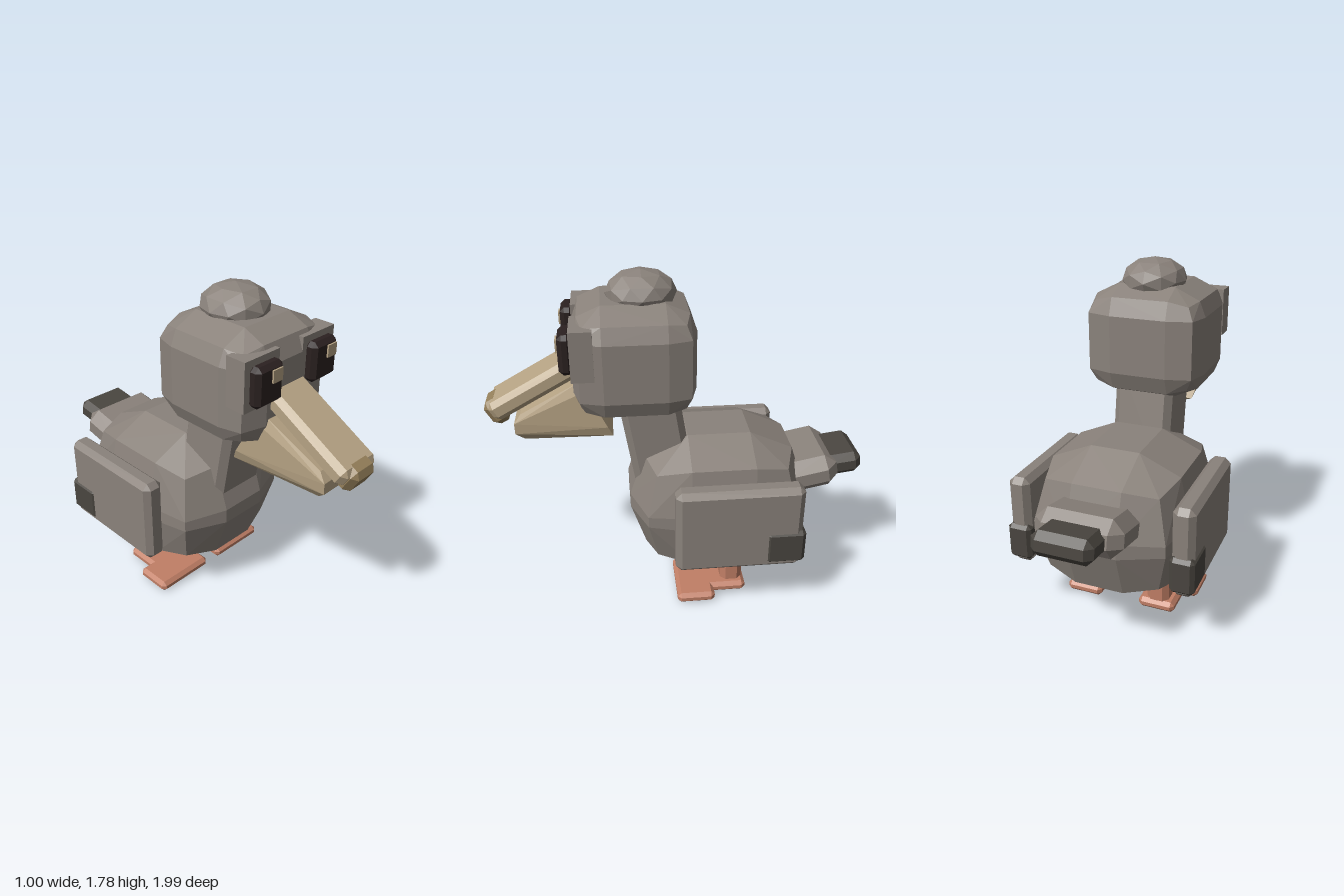
import * as THREE from 'three';
import { ConvexGeometry } from 'three/addons/geometries/ConvexGeometry.js';

const mat = (name, color) => new THREE.MeshStandardMaterial({ name, color, flatShading: true });

export function createModel() {
  const grey = mat('grey feathers', 0x8a827b);
  const dark = mat('dark feathers', 0x4a4640);
  const tan = mat('tan beak', 0xb5a283);
  const brown = mat('brown beak tip', 0x947f5a);
  const orange = mat('orange legs', 0xc17f66);
  const black = mat('black eyes', 0x2b2120);

  const model = new THREE.Group();
  const add = (name, geo, material, x = 0, y = 0, z = 0, rx = 0) => {
    const mesh = new THREE.Mesh(geo, material);
    mesh.name = name;
    mesh.position.set(x, y, z);
    mesh.rotation.x = rx;
    model.add(mesh);
    return mesh;
  };

  // Convex solid from points repeated over the given mirror axes
  const hull = (points, axes = 'xyz') => {
    const signs = (a) => (axes.includes(a) ? [1, -1] : [1]);
    const out = [];
    for (const [x, y, z] of points)
      for (const i of signs('x')) for (const j of signs('y')) for (const k of signs('z'))
        out.push(new THREE.Vector3(x * i, y * j, z * k));
    return new ConvexGeometry(out);
  };

  // Box with chamfered edges
  const block = (w, h, d, b) => {
    const [x, y, z] = [w / 2, h / 2, d / 2];
    return hull([[x, y - b, z - b], [x - b, y, z - b], [x - b, y - b, z]]);
  };

  // Box given by its limits
  const slab = (name, material, x0, x1, y0, y1, z0, z1, b) =>
    add(name, block(x1 - x0, y1 - y0, z1 - z0, b), material,
      (x0 + x1) / 2, (y0 + y1) / 2, (z0 + z1) / 2);

  // Body: face panels, softened edges and pulled-in corners
  add('body', hull([
    [0.13, 0.385, 0.165], [0.40, 0.04, 0.165], [0.13, 0.04, 0.475],
    [0.347, 0.29, 0.165], [0.13, 0.28, 0.395], [0.35, 0.03, 0.39],
    [0.30, 0.25, 0.34],
  ]), grey, 0, 0.54, -0.205);

  // Neck leaning forward
  add('neck', block(0.32, 0.62, 0.31, 0.035), grey, 0, 0.93, 0.125, 0.16);

  // Head
  add('head', hull([
    [0.15, 0.29, 0.155], [0.312, 0.15, 0.155], [0.15, 0.15, 0.305],
    [0.28, 0.23, 0.155], [0.15, 0.24, 0.27], [0.28, 0.15, 0.27],
    [0.25, 0.215, 0.245],
  ]), grey, 0, 1.36, 0.225);

  // Faceted crest
  const crest = add('crest', new THREE.IcosahedronGeometry(1, 1), grey, 0, 1.665, 0.18);
  crest.scale.set(0.17, 0.112, 0.177);

  // Eyes, with each glint shifted the same way
  for (const s of [-1, 1]) {
    add('eyeSurround', new THREE.BoxGeometry(0.225, 0.25, 0.11), grey, s * 0.193, 1.455, 0.475);
    add('eye', block(0.175, 0.2, 0.07, 0.022), black, s * 0.19, 1.452, 0.55);
    add('eyeGlint', new THREE.BoxGeometry(0.062, 0.062, 0.009), tan, s * 0.19 + 0.032, 1.495, 0.589);
  }

  // Beak
  add('upperBeak', block(0.25, 0.105, 0.62, 0.028), tan, 0, 1.235, 0.68, 0.51);
  add('beakTip', block(0.17, 0.14, 0.105, 0.03), brown, 0, 1.078, 0.927, 0.51);
  add('lowerBeak', hull([
    [0.14, 1.26, 0.50], [0.165, 1.22, 0.47], [0.18, 1.02, 0.37], [0.165, 0.965, 0.345],
    [0.125, 0.945, 0.37], [0.09, 1.07, 0.81], [0.10, 1.02, 0.845],
    [0.095, 0.96, 0.845], [0.07, 0.917, 0.80],
  ], 'x'), tan);

  // Wings with dark tips, legs and webbed feet
  for (const s of [-1, 1]) {
    const pair = (name, material, x0, x1, ...rest) =>
      slab(name, material, s > 0 ? x0 : -x1, s > 0 ? x1 : -x0, ...rest);
    pair('wing', grey, 0.375, 0.49, 0.305, 0.785, -0.6, 0.055, 0.03);
    pair('wingTip', dark, 0.37, 0.498, 0.335, 0.53, -0.617, -0.41, 0.02);
    pair('leg', orange, 0.15, 0.272, 0.03, 0.22, -0.335, -0.215, 0.028);
    pair('foot', orange, 0.04, 0.385, 0, 0.06, -0.17, 0.035, 0.02);
    pair('heel', orange, 0.11, 0.31, 0, 0.06, -0.35, -0.13, 0.02);
  }

  // Tail
  add('tail', block(0.45, 0.19, 0.33, 0.06), grey, 0, 0.667, -0.69, 0.2);
  add('tailTip', block(0.31, 0.125, 0.21, 0.036), dark, 0, 0.695, -0.89, 0.13);

  return model;
}
